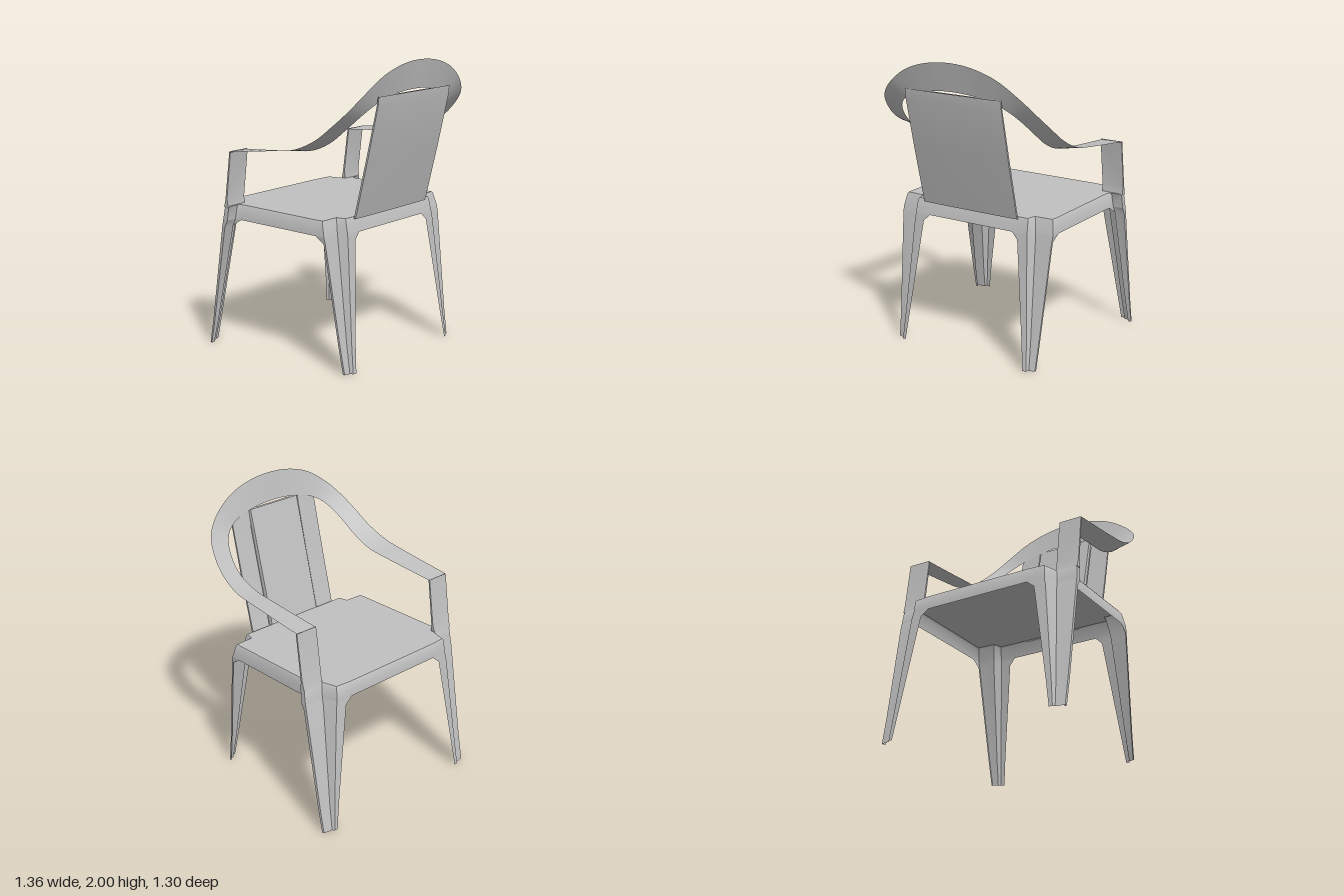
import * as THREE from 'three';
import { toCreasedNormals } from 'three/addons/utils/BufferGeometryUtils.js';

const plastic = new THREE.MeshStandardMaterial({ color: 0xc0c0c0, side: THREE.DoubleSide });
plastic.name = 'grey plastic';

// Skin a surface over rows of [x, y, z] points
function loft(rows, closed = false, crease = 0.6) {
  const n = rows[0].length, index = [];
  for (let r = 0; r < rows.length - 1; r++) {
    for (let i = 0; i < (closed ? n : n - 1); i++) {
      const a = r * n + i, b = r * n + (i + 1) % n;
      index.push(a, b, a + n, b, b + n, a + n);
    }
  }
  const g = new THREE.BufferGeometry();
  g.setAttribute('position', new THREE.Float32BufferAttribute(rows.flat(2), 3));
  g.setIndex(index);
  return toCreasedNormals(g, crease);
}

const atHeight = (pts, y) => pts.map(([x, z]) => [x, y, z]);
const mirrorRow = (row) => row.map(([x, y, z]) => [-x, y, z]);
// Close a half outline that starts and ends on x = 0
const fullOutline = (half) => [...half, ...half.slice(1, -1).reverse().map(([x, z]) => [-x, z])];

// Half outlines of the seat as [x, z], with notched corners
const seatTop = [[0, .41], [.33, .41], [.44, .41], [.455, .345], [.585, .34], [.59, .295], [.59, -.37],
  [.60, -.41], [.675, -.415], [.675, -.45], [.53, -.455], [.50, -.56], [.39, -.57], [0, -.57]];
const seatRim = [[0, .43], [.33, .43], [.445, .43], [.47, .365], [.60, .365], [.60, .295], [.605, -.37],
  [.61, -.42], [.68, -.425], [.68, -.465], [.54, -.47], [.505, -.57], [.38, -.575], [0, -.575]];

// Leg sections: just under the rim, and at the floor
const legs = {
  rearLeg: {
    rim: seatRim.slice(1, 6),
    knee: [[.375, .437], [.449, .437], [.475, .375], [.597, .375], [.597, .36]],
    foot: [[.48, .535], [.505, .53], [.515, .51], [.555, .50], [.555, .485]],
  },
  frontLeg: {
    rim: seatRim.slice(6, 13),
    knee: [[.612, -.44], [.62, -.445], [.68, -.45], [.68, -.475], [.545, -.485], [.515, -.575], [.435, -.58]],
    foot: [[.655, -.605], [.665, -.608], [.675, -.61], [.672, -.625], [.61, -.635], [.60, -.65], [.575, -.65]],
  },
};

export function createModel() {
  const chair = new THREE.Group();
  chair.name = 'armchair';
  const add = (name, geometry) => {
    const mesh = new THREE.Mesh(geometry, plastic);
    mesh.name = name;
    chair.add(mesh);
  };

  // Seat panel and its skirt, open underneath
  const inset = seatTop.map(([x, z]) => [x * .985, z * .985]);
  const shape = new THREE.Shape(fullOutline(inset).map(([x, z]) => new THREE.Vector2(x, z)));
  add('seat', new THREE.ShapeGeometry(shape).rotateX(Math.PI / 2).translate(0, 1, 0));
  add('seatSkirt', loft([
    atHeight(fullOutline(inset), 1),
    atHeight(fullOutline(seatTop), .988),
    atHeight(fullOutline(seatRim), .9),
  ], true));

  // Folded shell legs
  for (const [name, { rim, knee, foot }] of Object.entries(legs)) {
    const mid = knee.map(([x, z], i) => [
      x + (foot[i][0] - x) * .8, z + (foot[i][1] - z) * .76]);
    const rows = [atHeight(rim, .9), atHeight(knee, .855), atHeight(mid, .18), atHeight(foot, 0)];
    add(name + 'Left', loft(rows));
    add(name + 'Right', loft(rows.map(mirrorRow)));
  }

  // Arm posts, slim wedges rising from the front legs
  const post = [
    [[.52, 1.375, -.393], [.68, 1.375, -.393], [.68, 1.37, -.383], [.52, 1.37, -.383]],
    [[.52, 1.05, -.438], [.68, 1.05, -.438], [.68, 1.05, -.424], [.52, 1.05, -.424]],
    [[.525, .99, -.455], [.678, .99, -.455], [.678, .99, -.415], [.525, .99, -.415]],
  ];
  add('armPostLeft', loft(post, true));
  add('armPostRight', loft(post.map(mirrorRow), true));

  // One band forms both arms and the top of the back
  const outer = [[.68, 1.375, -.39], [.68, 1.425, 0], [.68, 1.46, .2], [.665, 1.53, .35], [.64, 1.62, .46],
    [.59, 1.72, .555], [.5, 1.82, .61], [.35, 1.925, .64], [.18, 1.982, .65], [0, 2, .65]];
  const inner = [[.52, 1.37, -.39], [.52, 1.405, 0], [.52, 1.43, .2], [.52, 1.495, .35], [.5, 1.585, .46],
    [.455, 1.67, .54], [.395, 1.725, .58], [.3, 1.77, .60], [.16, 1.80, .61], [0, 1.81, .615]];
  const edge = (pts) => new THREE.CatmullRomCurve3(
    [...pts, ...mirrorRow(pts).reverse().slice(1)].map((p) => new THREE.Vector3(...p)))
    .getPoints(108).map((p) => p.toArray());
  const outerEdge = edge(outer), innerEdge = edge(inner);
  add('armBand', loft(outerEdge.map((p, i) => [p, innerEdge[i]]), false, 1));

  // Backrest: a leaning slab with a raised centre between two grooves
  const halfFront = [[.37, .016], [.222, .016], [.218, .026], [.212, .026], [.208, 0]];
  const section = [...halfFront, ...halfFront.map(([x, d]) => [-x, d]).reverse(),
    [-.37, .03], [-.2, .034], [.2, .034], [.37, .03]];
  const slab = (y, thin) => section.map(([x, d]) => [x, y, .405 + (y - 1) * .25 + d * thin]);
  add('backrest', loft([slab(.99, 1), slab(1.4, 1), slab(1.735, .8), slab(1.795, .5)], true, .4));

  return chair;
}
